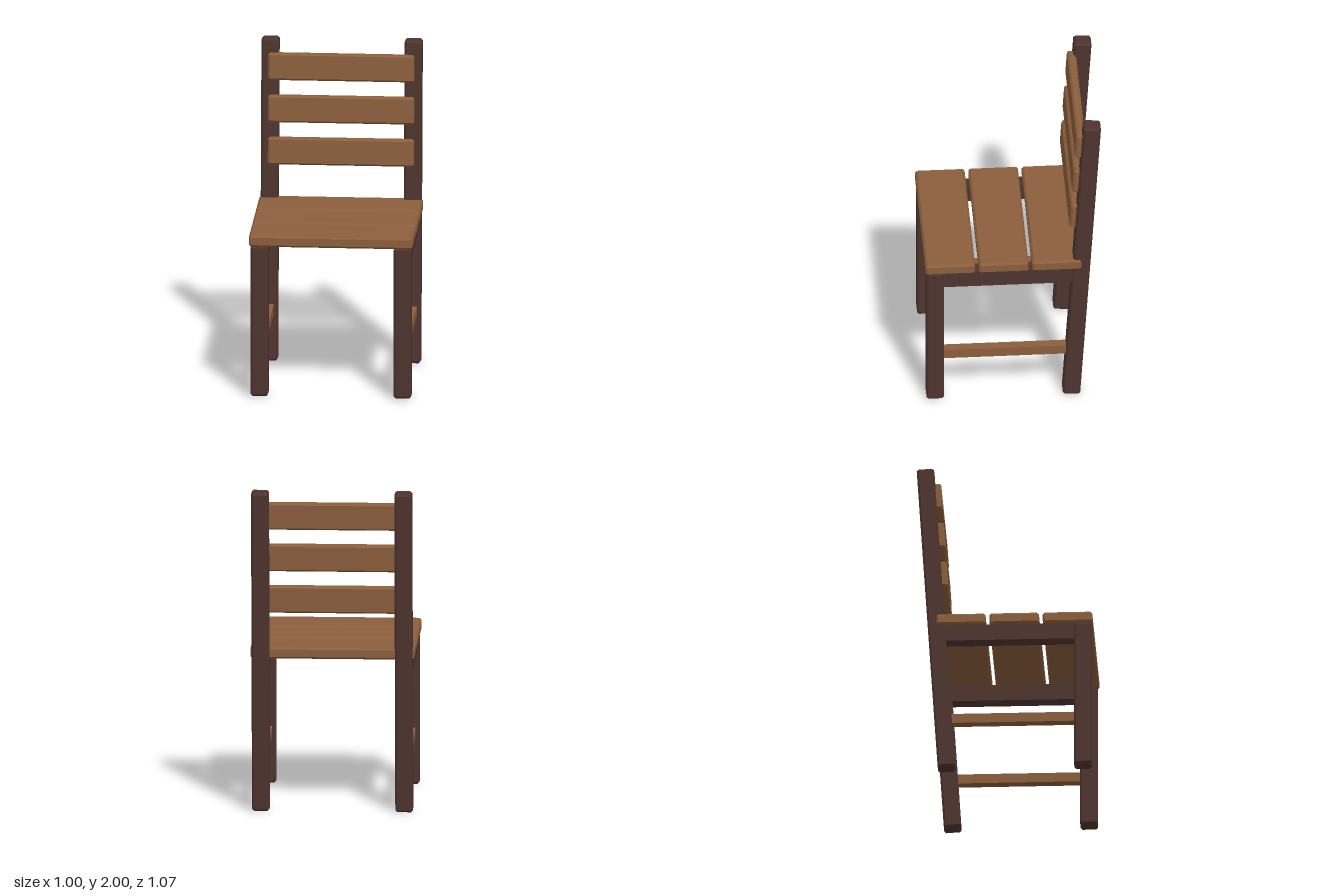
import * as THREE from 'three';
import { ConvexGeometry } from 'three/addons/geometries/ConvexGeometry.js';

// Box with a flat chamfer c along every edge
function chamferBox(w, h, d, c) {
  const points = [];
  for (const sx of [-1, 1]) for (const sy of [-1, 1]) for (const sz of [-1, 1]) {
    const x = w / 2, y = h / 2, z = d / 2;
    points.push(
      new THREE.Vector3(sx * x, sy * (y - c), sz * (z - c)),
      new THREE.Vector3(sx * (x - c), sy * y, sz * (z - c)),
      new THREE.Vector3(sx * (x - c), sy * (y - c), sz * z));
  }
  return new ConvexGeometry(points);
}

export function createModel() {
  const lightWood = new THREE.MeshStandardMaterial({ color: 0x8b5e3c });
  lightWood.name = 'lightWood';
  const darkWood = new THREE.MeshStandardMaterial({ color: 0x4e342e });
  darkWood.name = 'darkWood';

  const chair = new THREE.Group();
  chair.name = 'chair';

  function add(parent, name, geometry, material, x, y, z) {
    const mesh = new THREE.Mesh(geometry, material);
    mesh.name = name;
    mesh.position.set(x, y, z);
    parent.add(mesh);
  }

  // Leaning back: posts and slats share one tilt
  const back = new THREE.Group();
  back.name = 'back';
  back.position.set(0, 1, -0.419);
  back.rotation.x = -0.064;
  chair.add(back);

  const legX = 0.435;
  const post = chamferBox(0.106, 1.996, 0.106, 0.012);
  const frontLeg = chamferBox(0.106, 0.942, 0.106, 0.012);
  const apron = new THREE.BoxGeometry(0.088, 0.104, 0.85);
  const rung = new THREE.BoxGeometry(0.06, 0.06, 0.79);
  for (const [side, s] of [['left', 1], ['right', -1]]) {
    add(back, side + 'BackPost', post, darkWood, s * legX, 0, 0);
    add(chair, side + 'FrontLeg', frontLeg, darkWood, s * legX, 0.479, 0.472);
    add(chair, side + 'Apron', apron, darkWood, s * legX, 0.897, 0.025);
    add(chair, side + 'Rung', rung, lightWood, s * legX, 0.33, 0.06);
  }

  // Back slats, set partly into the front of the posts
  const slat = chamferBox(0.888, 0.166, 0.054, 0.011);
  [0.308, 0.569, 0.83].forEach((y, i) =>
    add(back, 'backSlat' + (i + 1), slat, lightWood, 0, y, 0.062));

  // Seat planks
  const plank = chamferBox(0.996, 0.07, 0.301, 0.012);
  [0.381, 0.057, -0.267].forEach((z, i) =>
    add(chair, 'seatPlank' + (i + 1), plank, lightWood, 0, 0.983, z));

  return chair;
}
